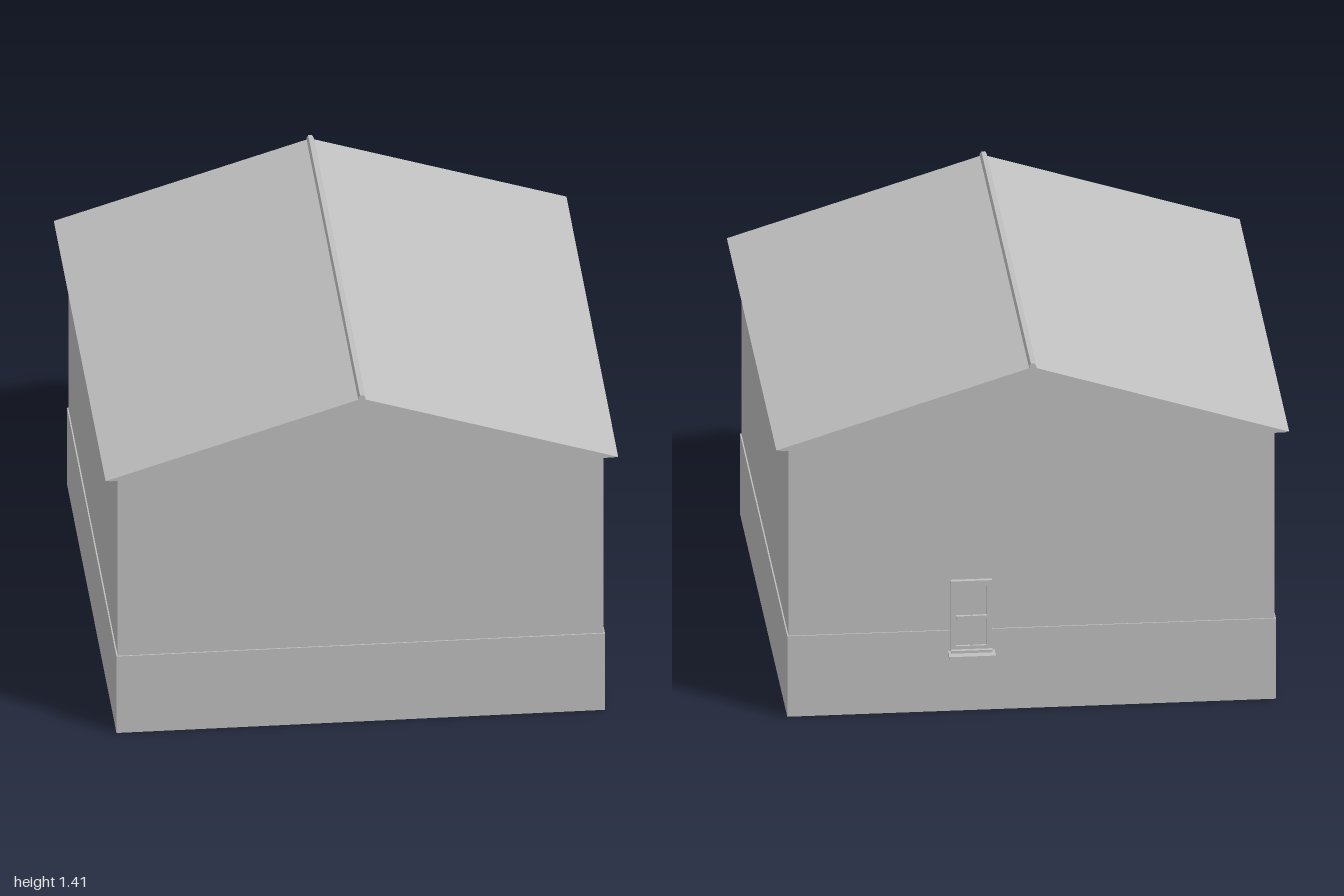
import * as THREE from 'three';

export function createModel() {
  const house = new THREE.Group();
  house.name = 'house';
  const grey = new THREE.MeshStandardMaterial({ color: 0xc0c0c0 });
  grey.name = 'plain grey';

  const add = (name, geometry, parent = house) => {
    const mesh = new THREE.Mesh(geometry, grey);
    mesh.name = name;
    parent.add(mesh);
    return mesh;
  };
  // box given by its limits on each axis
  const box = (name, [x0, x1], [y0, y1], [z0, z1], parent) =>
    add(name, new THREE.BoxGeometry(x1 - x0, y1 - y0, z1 - z0), parent)
      .position.set((x0 + x1) / 2, (y0 + y1) / 2, (z0 + z1) / 2);
  const outline = (points) => new THREE.Shape(points.map(([x, y]) => new THREE.Vector2(x, y)));
  const extrude = (points, depth) =>
    new THREE.ExtrudeGeometry(outline(points), { depth, bevelEnabled: false });

  // walls on a slightly wider plinth
  box('plinth', [-0.91, 0.91], [0, 0.325], [-0.941, 0.956]);
  box('walls', [-0.905, 0.905], [0.325, 1.095], [-0.936, 0.951]);

  // gabled roof, closed at both ends
  const roof = extrude([[-0.955, 1.097], [0.955, 1.097], [0, 1.396]], 1.985);
  add('roof', roof.translate(0, 0, -0.985));

  // thin eave board with clipped corners
  const w = 0.952, d = 0.983, c = 0.012;
  const eave = extrude([
    [-w + c, -d], [w - c, -d], [w, -d + c], [w, d - c],
    [w - c, d], [-w + c, d], [-w, d - c], [-w, -d + c],
  ], 0.007);
  add('eaveBoard', eave.rotateX(-Math.PI / 2).translate(0, 1.09, 0.0075));

  // ridge cap
  const cap = extrude([[-0.013, 1.388], [0.013, 1.388], [0.013, 1.4],
    [0.007, 1.41], [-0.007, 1.41], [-0.013, 1.4]], 1.985);
  add('ridgeCap', cap.translate(0, 0, -0.985));

  // back window: frame, glazing bars, pane and sill
  const win = new THREE.Group();
  win.name = 'backWindow';
  house.add(win);
  const x0 = 0.148, x1 = 0.302, y0 = 0.245, y1 = 0.527, t = 0.02;
  const zFrame = [-0.953, -0.93];
  box('windowJamb', [x0, x0 + t], [y0, y1], zFrame, win);
  box('windowJamb', [x1 - t, x1], [y0, y1], zFrame, win);
  box('windowHead', [x0 + t, x1 - t], [y1 - t, y1], zFrame, win);
  box('windowFoot', [x0 + t, x1 - t], [y0, y0 + t], zFrame, win);
  box('windowPane', [x0 + t, x1 - t], [y0 + t, y1 - t], [-0.943, -0.935], win);
  box('glazingBar', [0.22, 0.23], [y0 + t, y1 - t], [-0.949, -0.935], win);
  box('glazingRail', [x0 + t, x1 - t], [0.372, 0.386], [-0.955, -0.935], win);
  box('windowSill', [0.138, 0.312], [0.23, 0.242], [-1, -0.93], win);
  box('sillMoulding', [x0, x1], [0.242, 0.252], [-0.968, -0.93], win);

  return house;
}
